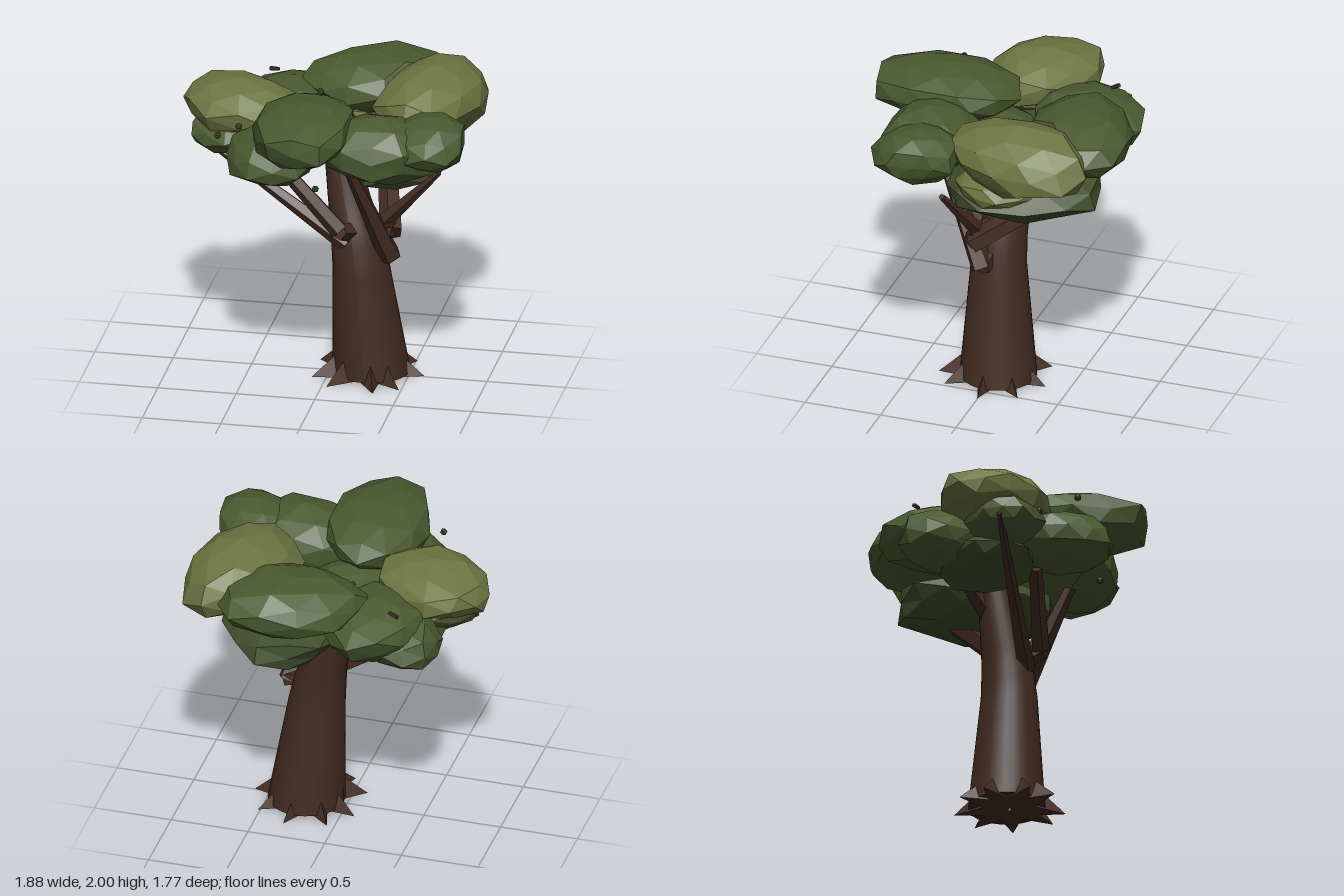
import * as THREE from 'three';

const mat = (color, flatShading = true) => new THREE.MeshStandardMaterial({ color, flatShading });
const bark = mat(0x452e23);
const barkSmooth = mat(0x422b20, false);
const leaf = mat(0x4a5a30);
const leafLight = mat(0x6d7642);
const leafDark = mat(0x414f2b);

// Seeded noise in -1..1 from a position, so shared corners move together
function noise(v, seed) {
  const q = (n) => Math.round(n * 1000) / 1000;
  const s = Math.sin(q(v.x) * 12.99 + q(v.y) * 78.23 + q(v.z) * 37.72 + seed * 5.17) * 43758.5;
  return (s - Math.floor(s)) * 2 - 1;
}

function reshape(geo, rule) {
  const p = geo.attributes.position;
  const v = new THREE.Vector3();
  for (let i = 0; i < p.count; i++) {
    rule(v.fromBufferAttribute(p, i));
    p.setXYZ(i, v.x, v.y, v.z);
  }
  geo.computeVertexNormals();
  return geo;
}

function add(group, name, geo, material) {
  const mesh = new THREE.Mesh(geo, material);
  mesh.name = name;
  group.add(mesh);
  return mesh;
}

// Leaning trunk sections: y, centre x, centre z, radius
const SECTIONS = [
  [0.02, 0.26, -0.02, 0.243],
  [0.75, 0.195, 0, 0.178],
  [0.95, 0.165, -0.01, 0.16],
  [1.2, 0.105, -0.05, 0.13],
  [1.48, 0.05, -0.09, 0.105],
];

function trunkGeometry() {
  const geo = new THREE.CylinderGeometry(1, 1, 1, 28, 24);
  return reshape(geo, (v) => {
    const y = 0.02 + (v.y + 0.5) * 1.46;
    let i = 0;
    while (i < SECTIONS.length - 2 && y > SECTIONS[i + 1][0]) i++;
    const a = SECTIONS[i], b = SECTIONS[i + 1];
    const t = (y - a[0]) / (b[0] - a[0]);
    const [cx, cz, r] = [1, 2, 3].map((k) => a[k] + (b[k] - a[k]) * t);
    v.set(cx + v.x * r, y, cz + v.z * r);
  });
}

// Tapered limb between two points
function limb(group, from, to, r0, r1) {
  const a = new THREE.Vector3(...from), b = new THREE.Vector3(...to);
  const dir = b.clone().sub(a);
  const mesh = add(group, 'branch', new THREE.CylinderGeometry(r1, r0, dir.length(), 5), bark);
  mesh.position.copy(a).add(b).multiplyScalar(0.5);
  mesh.quaternion.setFromUnitVectors(new THREE.Vector3(0, 1, 0), dir.normalize());
}

// Faceted, squashed clump of leaves
function clump(group, [x, y, z], [rx, ry, rz], turn, material, seed) {
  const geo = reshape(new THREE.IcosahedronGeometry(1, 1), (v) => {
    const k = 1.01 + 0.09 * noise(v, seed);
    v.multiplyScalar(k).multiply(new THREE.Vector3(rx, ry, rz));
  });
  const mesh = add(group, 'leafClump', geo, material);
  mesh.position.set(x, y, z);
  mesh.rotation.y = turn;
}

export function createModel() {
  const tree = new THREE.Group();
  tree.name = 'tree';
  add(tree, 'trunk', trunkGeometry(), barkSmooth);

  // Star of pointed roots lying on the ground, their thick ends inside the trunk
  const roots = new THREE.Group();
  roots.name = 'roots';
  for (let i = 0; i < 9; i++) {
    const geo = new THREE.ConeGeometry(1, 0.34, 4);
    geo.rotateZ(-Math.PI / 2);
    reshape(geo, (v) => {
      v.x += 0.19;
      v.y = Math.max(0, v.y * 0.3 + 0.005);
      v.z *= 0.11;
    });
    const root = add(roots, 'root', geo, bark);
    root.position.set(0.24, 0, 0);
    root.rotation.y = (i / 9) * Math.PI * 2 + 0.12 * Math.sin(i * 3);
  }
  tree.add(roots);

  // Branches and short stubs: base, tip, base radius, tip radius
  const branches = new THREE.Group();
  branches.name = 'branches';
  [
    [[0.13, 0.91, 0.11], [-0.85, 1.54, 0], 0.06, 0.018],
    [[0.1, 1.03, 0.2], [-0.26, 1.42, 0.19], 0.06, 0.045],
    [[0.15, 0.98, 0.08], [0.1, 1.03, 0.22], 0.065, 0.055],
    [[0.39, 0.82, 0.04], [0.2, 1.52, 0.39], 0.075, 0.035],
    [[0.2, 0.9, 0.02], [0.41, 0.83, 0.04], 0.06, 0.06],
    [[0.36, 1.07, 0.08], [0.73, 1.47, 0.19], 0.055, 0.02],
    [[0.41, 1.0, 0.1], [0.28, 1.36, -0.42], 0.075, 0.06],
    [[0.14, 1.06, 0], [0.43, 1.02, 0.1], 0.06, 0.06],
    [[0.1, 1.22, -0.1], [-0.05, 1.4, -0.23], 0.06, 0.05],
    [[-0.49, 1.775, -0.555], [-0.43, 1.785, -0.53], 0.015, 0.012],
  ].forEach((b) => limb(branches, ...b));
  tree.add(branches);

  // Canopy: centre, radii, turn, colour
  const canopy = new THREE.Group();
  canopy.name = 'canopy';
  [
    [[-0.075, 1.79, 0.435], [0.32, 0.19, 0.475], 0, leaf],
    [[0.61, 1.77, -0.28], [0.32, 0.22, 0.5], -0.24, leafLight],
    [[0.39, 1.68, 0.39], [0.38, 0.21, 0.3], 0, leaf],
    [[0.7, 1.74, 0.36], [0.24, 0.17, 0.28], 0.1, leaf],
    [[0.19, 1.77, -0.55], [0.46, 0.19, 0.33], 0.35, leaf],
    [[-0.57, 1.74, -0.04], [0.4, 0.17, 0.31], -0.55, leafLight],
    [[-0.3, 1.62, -0.41], [0.32, 0.19, 0.36], -0.2, leaf],
    [[-0.3, 1.58, 0.36], [0.3, 0.17, 0.33], 0.2, leaf],
    [[-0.62, 1.58, 0.02], [0.27, 0.13, 0.24], 0, leaf],
    [[-0.33, 1.44, -0.12], [0.34, 0.14, 0.32], 0.4, leafDark],
    [[0.33, 1.42, -0.23], [0.38, 0.17, 0.5], 0.3, leafDark],
    [[0.5, 1.51, -0.13], [0.28, 0.12, 0.28], 0.2, leafLight],
    [[0, 1.6, 0.03], [0.25, 0.15, 0.2], 0.6, leaf],
    [[-0.45, 1.53, -0.36], [0.25, 0.17, 0.33], 0.78, leaf],
    [[0.13, 1.62, -0.1], [0.19, 0.1, 0.14], 0, leafLight],
  ].forEach((c, i) => clump(canopy, ...c, i + 1));
  tree.add(canopy);

  // Small loose buds around the canopy
  [
    [-0.67, 1.63, 0.24],
    [-0.49, 1.8, 0.47],
    [-0.11, 1.77, -0.25],
    [0.02, 1.46, 0.58],
  ].forEach((p) => {
    add(tree, 'bud', new THREE.IcosahedronGeometry(0.024, 0), leafDark).position.set(...p);
  });

  return tree;
}
